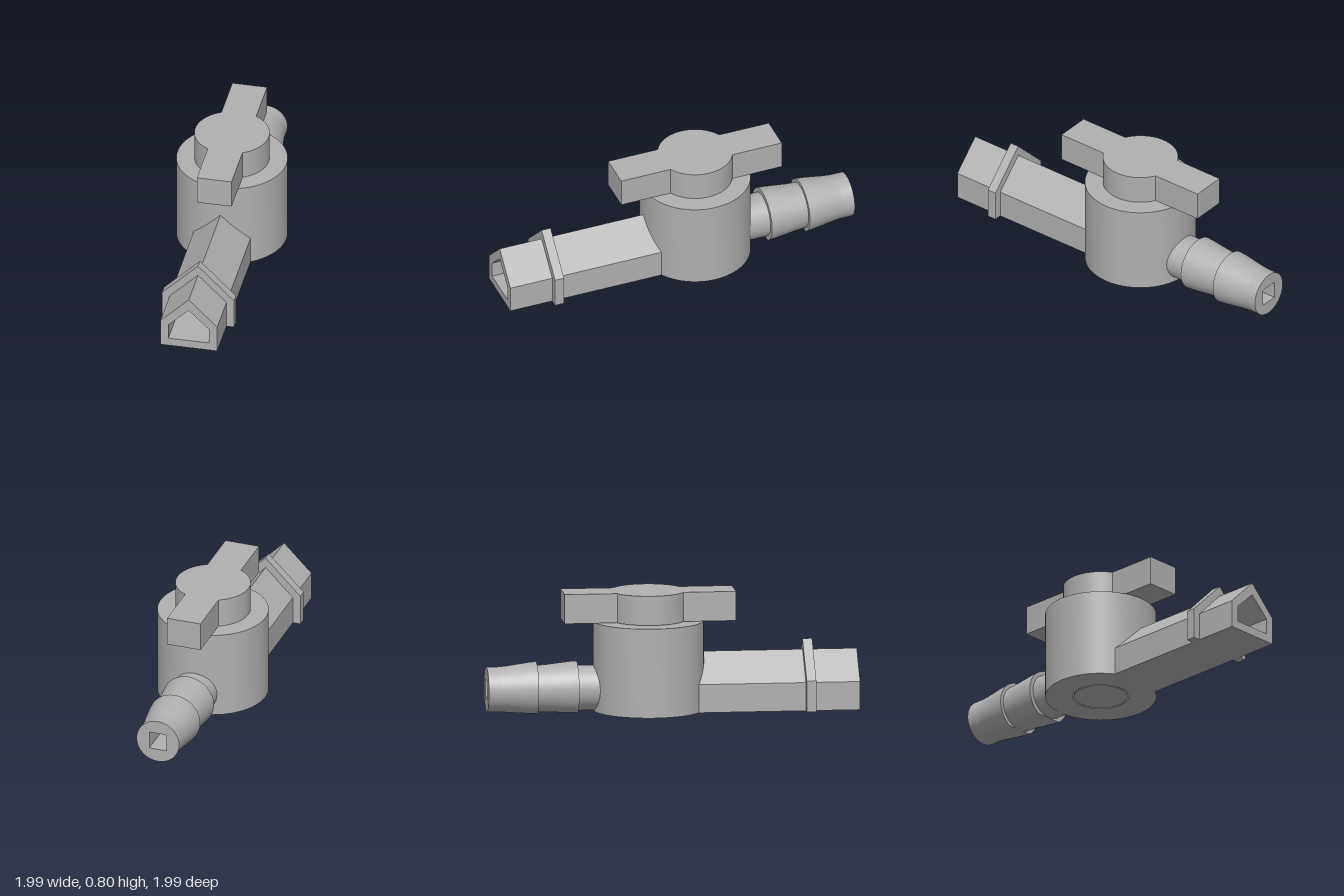
import * as THREE from 'three';
import { toCreasedNormals } from 'three/addons/utils/BufferGeometryUtils.js';

const grey = new THREE.MeshStandardMaterial({ color: 0xb0b0b0 });
grey.name = 'grey plastic';

function part(name, geometry) {
  const mesh = new THREE.Mesh(toCreasedNormals(geometry, 0.5), grey);
  mesh.name = name;
  return mesh;
}

const points = (list) => list.map(([x, y]) => new THREE.Vector2(x, y));

// House-shaped outline: flat floor, upright walls, 45 degree roof
const houseOutline = (half, floor, eaves, apex) =>
  points([[-half, floor], [half, floor], [half, eaves], [0, apex], [-half, eaves]]);

// Extrude a cross-section along the pipe axis (x)
function alongPipe(shape, from, to) {
  return new THREE.ExtrudeGeometry(shape, { depth: to - from, bevelEnabled: false, curveSegments: 48 })
    .rotateY(Math.PI / 2).translate(from, 0, 0);
}

export function createModel() {
  const model = new THREE.Group();
  model.name = 'barbedValve';
  const bodyRadius = 0.37, bodyTop = 0.6;

  // Valve body with a bore, and the turning plug inside it
  model.add(part('valveBody', new THREE.LatheGeometry(
    points([[0.187, 0], [bodyRadius, 0], [bodyRadius, bodyTop], [0.187, bodyTop], [0.187, 0]]), 72)));
  model.add(part('valvePlug', new THREE.CylinderGeometry(0.178, 0.178, 0.61, 48).translate(0, 0.305, 0)));

  // Handle: round hub with two straight arms, as one outline
  const hub = 0.25, reach = 0.573, armHalf = 0.118;
  const a = Math.asin(armHalf / hub);
  const handle = new THREE.Shape();
  handle.moveTo(reach, -armHalf);
  handle.lineTo(reach, armHalf);
  handle.absarc(0, 0, hub, a, Math.PI - a, false);
  handle.lineTo(-reach, armHalf);
  handle.lineTo(-reach, -armHalf);
  handle.absarc(0, 0, hub, Math.PI + a, 2 * Math.PI - a, false);
  handle.closePath();
  model.add(part('handle', new THREE.ExtrudeGeometry(handle, { depth: 0.197, bevelEnabled: false, curveSegments: 32 })
    .rotateX(-Math.PI / 2).translate(0, 0.604, 0)));

  // Inlet pipe with a house-shaped bore
  const inlet = new THREE.Shape(houseOutline(0.193, 0, 0.19, 0.383));
  inlet.holes.push(new THREE.Path(houseOutline(0.138, 0.057, 0.165, 0.297)));
  model.add(part('inletPipe', alongPipe(inlet, -1.394, -0.3)));

  // Collar around the inlet pipe, open where the pipe passes
  const collar = new THREE.Shape(points([
    [-0.245, 0], [-0.193, 0], [-0.193, 0.19], [0, 0.383], [0.193, 0.19],
    [0.193, 0], [0.245, 0], [0.245, 0.21], [0, 0.455], [-0.245, 0.21]]));
  model.add(part('inletCollar', alongPipe(collar, -1.095, -1.031)));

  // Outlet spout with a square bore
  const axisY = 0.152, bore = 0.06;
  const spout = new THREE.Shape();
  spout.absarc(0, axisY, 0.15, 0, Math.PI * 2, false);
  spout.holes.push(new THREE.Path(points([
    [-bore, axisY - bore], [bore, axisY - bore], [bore, axisY + bore], [-bore, axisY + bore]])));
  model.add(part('outletSpout', alongPipe(spout, 0.3, 1.082)));

  // Hose barbs, flattened where they would dip below the base
  const barbs = new THREE.LatheGeometry(points([
    [0.149, 0.48], [0.18, 0.48], [0.177, 0.53], [0.169, 0.6], [0.16, 0.68], [0.155, 0.75],
    [0.18, 0.75], [0.176, 0.8], [0.166, 0.87], [0.156, 0.94], [0.15, 1.0]]), 64)
    .rotateZ(-Math.PI / 2).translate(0, axisY, 0);
  const pos = barbs.attributes.position;
  for (let i = 0; i < pos.count; i++) pos.setY(i, Math.max(0, pos.getY(i)));
  model.add(part('hoseBarbs', barbs));

  // The pipe axis lies diagonally
  model.rotation.y = Math.PI / 4;
  model.position.set(0.126, 0, -0.128);
  const root = new THREE.Group();
  root.name = 'valve';
  root.add(model);
  return root;
}
